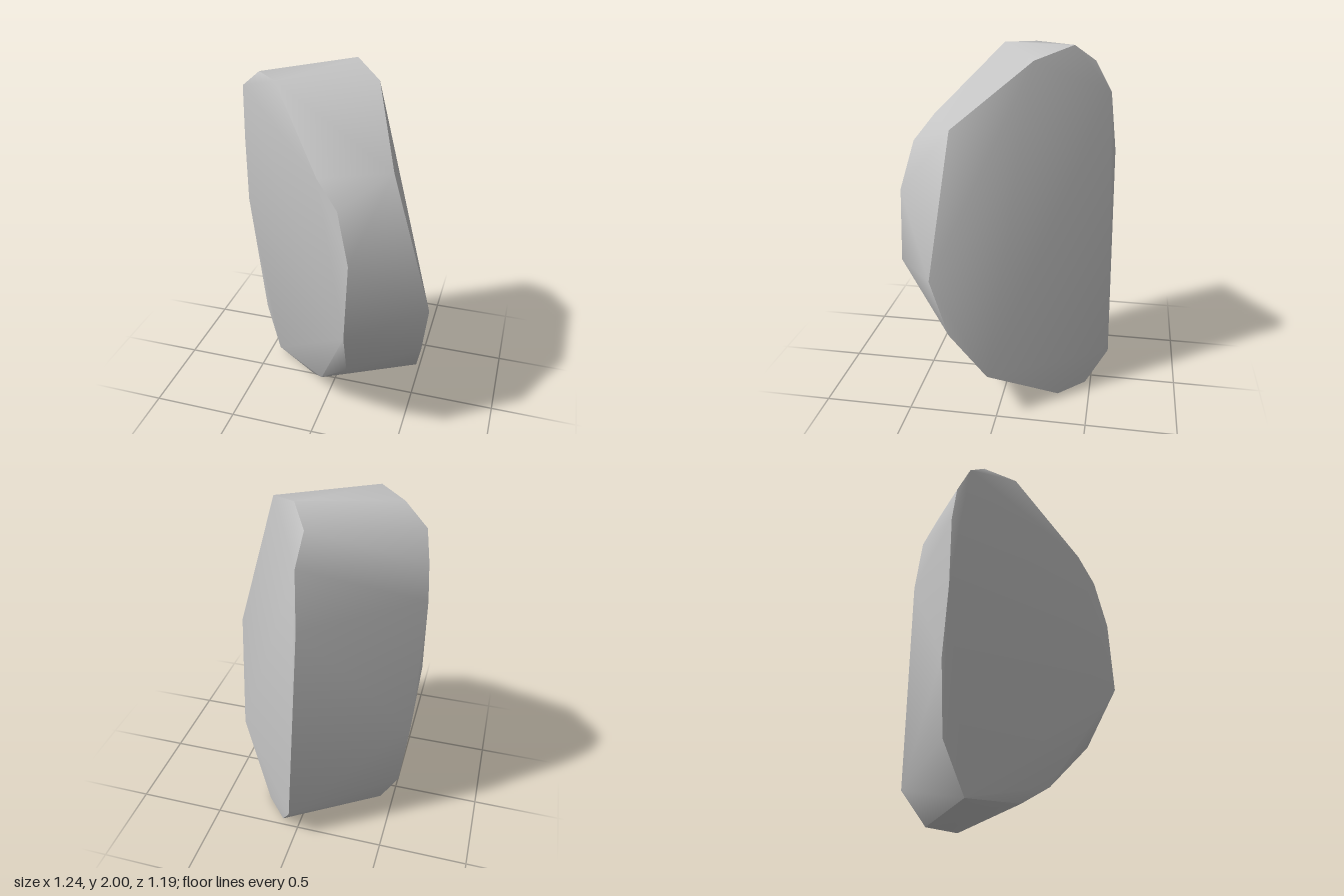
import * as THREE from 'three';
import { ConvexGeometry } from 'three/addons/geometries/ConvexGeometry.js';
import { toCreasedNormals } from 'three/addons/utils/BufferGeometryUtils.js';

// Rim of the broad front face, clockwise from the top
const frontRim = [
  [-0.3, 1.965, 0.085], [0.03, 1.61, 0.425], [0.16, 1.49, 0.51], [0.235, 1.23, 0.575], [0.22, 0.8, 0.595],
  [0.19, 0.45, 0.42], [-0.02, 0.18, 0.22], [-0.12, 0.075, 0.08], [-0.43, 0.04, -0.15], [-0.545, 0.3, -0.24],
  [-0.59, 0.7, -0.25], [-0.62, 1.1, -0.22], [-0.62, 1.5, -0.22], [-0.605, 1.7, -0.2], [-0.575, 1.85, -0.135],
  [-0.45, 1.955, -0.08],
];
// Rim of the broad back face, in the same direction
const backRim = [
  [0.2, 1.94, -0.15], [0.38, 1.61, 0.255], [0.615, 0.87, 0.325], [0.575, 0.54, 0.24], [0.525, 0.27, 0.045],
  [0.23, 0.003, -0.32], [0.1, 0.015, -0.47], [0.02, 0.2, -0.595], [-0.04, 1.43, -0.575], [-0.03, 1.75, -0.54],
  [0.03, 2, -0.34],
];
// Points where the side band swells between the rims
const swell = [[-0.05, 1.91, -0.45], [-0.28, 0.02, -0.1], [0.1, 0, -0.32]];

export function createModel() {
  const stone = new THREE.MeshStandardMaterial({ color: 0xc4c4c4 });
  stone.name = 'stone grey';

  // Rock slab: the hull of both rims, smooth around the band and sharp at the faces
  const points = [...frontRim, ...backRim, ...swell].map((p) => new THREE.Vector3(...p));
  const rock = new THREE.Mesh(toCreasedNormals(new ConvexGeometry(points), 0.75), stone);
  rock.name = 'rock';

  const group = new THREE.Group();
  group.name = 'rockSlab';
  group.add(rock);
  return group;
}
